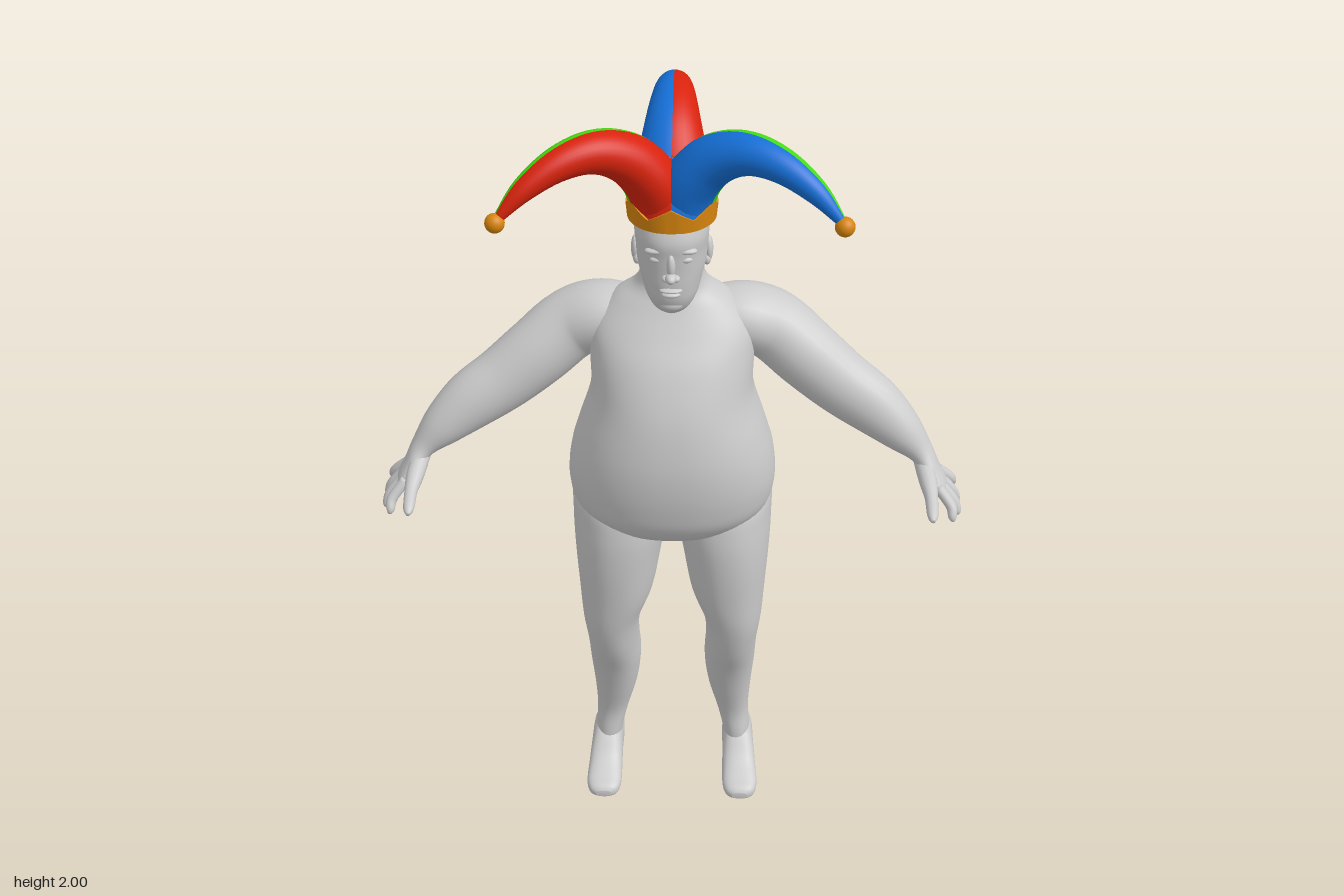
import * as THREE from 'three';
import { toCreasedNormals } from 'three/addons/utils/BufferGeometryUtils.js';

const mat = (color, side = THREE.FrontSide) => new THREE.MeshStandardMaterial({ color, side });
const GREY = mat(0xcccccc);
const ORANGE = mat(0xd8860f, THREE.DoubleSide);
const RED = mat(0xd8230c, THREE.DoubleSide);
const BLUE = mat(0x1570d8, THREE.DoubleSide);
const GREEN = mat(0x45dd12, THREE.DoubleSide);

function add(parent, name, geometry, material = GREY) {
  const mesh = new THREE.Mesh(geometry, material);
  mesh.name = name;
  parent.add(mesh);
  return mesh;
}

// Smoothly subdivide rows of numbers (Catmull-Rom per column)
function refine(rows, steps) {
  const out = [];
  for (let i = 0; i < rows.length - 1; i++) {
    const a = rows[Math.max(i - 1, 0)], b = rows[i], c = rows[i + 1];
    const d = rows[Math.min(i + 2, rows.length - 1)];
    for (let k = 0; k < steps; k++) {
      const t = k / steps;
      out.push(b.map((v, j) => {
        const cubic = 3 * (v - c[j]) + d[j] - a[j];
        const square = 2 * a[j] - 5 * v + 4 * c[j] - d[j];
        return v + 0.5 * t * (c[j] - a[j] + t * (square + t * cubic));
      }));
    }
  }
  out.push(rows[rows.length - 1]);
  return out;
}

// Closed skin over rings of equal point count, capped at both ends
function skin(rings) {
  const n = rings[0].length, pos = [], idx = [];
  rings.forEach((r) => r.forEach((p) => pos.push(p.x, p.y, p.z)));
  for (let i = 0; i < rings.length - 1; i++) {
    for (let j = 0; j < n; j++) {
      const a = i * n + j, b = i * n + (j + 1) % n;
      idx.push(a, b, a + n, b, b + n, a + n);
    }
  }
  [0, rings.length - 1].forEach((i, end) => {
    const c = rings[i].reduce((s, p) => s.add(p), new THREE.Vector3()).divideScalar(n);
    const centre = pos.length / 3;
    pos.push(c.x, c.y, c.z);
    for (let j = 0; j < n; j++) {
      const a = i * n + j, b = i * n + (j + 1) % n;
      if (end) idx.push(a, b, centre); else idx.push(b, a, centre);
    }
  });
  // Turn all faces outward if the enclosed volume is negative
  const P = (i) => new THREE.Vector3().fromArray(pos, 3 * i);
  let volume = 0;
  for (let i = 0; i < idx.length; i += 3) volume += P(idx[i]).dot(P(idx[i + 1]).cross(P(idx[i + 2])));
  if (volume < 0) idx.reverse();
  const g = new THREE.BufferGeometry();
  g.setAttribute('position', new THREE.Float32BufferAttribute(pos, 3));
  g.setIndex(idx);
  g.computeVertexNormals();
  return g;
}

// Loft along y or z; row = [station, centre x, half width, high, low]
function loft(rows, axis = 'y', power = 2.2, n = 40) {
  const pw = (v) => Math.sign(v) * Math.abs(v) ** (2 / power);
  return skin(refine(rows, 5).map(([t, cx, w, hi, lo]) => Array.from({ length: n }, (_, j) => {
    const a = 2 * Math.PI * j / n;
    const x = cx + w * pw(Math.cos(a)), m = (hi + lo) / 2 + (hi - lo) / 2 * pw(Math.sin(a));
    return axis === 'y' ? new THREE.Vector3(x, t, m) : new THREE.Vector3(x, m, t);
  })));
}

// Limb along a path; row = [x, y, z, thickness radius, radius along ref]
function limb(rows, ref = new THREE.Vector3(0, 0, 1), n = 24) {
  const fine = refine(rows, 5), pts = fine.map((r) => new THREE.Vector3(r[0], r[1], r[2]));
  return skin(fine.map((r, i) => {
    const T = pts[Math.min(i + 1, pts.length - 1)].clone().sub(pts[Math.max(i - 1, 0)]).normalize();
    const V = ref.clone().addScaledVector(T, -ref.dot(T)).normalize();
    const U = T.clone().cross(V);
    return Array.from({ length: n }, (_, j) => {
      const a = 2 * Math.PI * j / n;
      return pts[i].clone().addScaledVector(U, r[3] * Math.cos(a)).addScaledVector(V, r[4] * Math.sin(a));
    });
  }));
}

function ball(parent, name, position, scale, material = GREY) {
  const m = add(parent, name, new THREE.SphereGeometry(1, 20, 14), material);
  m.position.set(...position);
  m.scale.set(...scale);
}

// Arm, hand, leg, foot and half of the face for the +x side
function buildSide(name) {
  const side = new THREE.Group();
  side.name = name;
  add(side, 'arm', limb([
    [0.07, 1.47, 0.04, 0.055, 0.07], [0.16, 1.46, 0.03, 0.078, 0.09], [0.24, 1.425, 0.02, 0.085, 0.09],
    [0.32, 1.365, 0.05, 0.085, 0.08], [0.4, 1.305, 0.075, 0.08, 0.072], [0.48, 1.255, 0.1, 0.073, 0.065],
    [0.55, 1.2, 0.125, 0.054, 0.052], [0.6, 1.15, 0.14, 0.031, 0.04], [0.625, 1.11, 0.152, 0.024, 0.05],
    [0.65, 1.075, 0.162, 0.018, 0.058], [0.662, 1.056, 0.165, 0.008, 0.048]]));
  const tips = [[0.68, 1.02, 0.25], [0.697, 1.005, 0.2], [0.7, 1.003, 0.145], [0.695, 1.02, 0.092]];
  tips.forEach(([x, y, z], i) => {
    const bz = 0.207 - i * 0.029;
    add(side, 'finger', limb([
      [0.64, 1.09, bz, 0.013, 0.014],
      [(0.65 + x) / 2 + 0.008, (1.07 + y) / 2 + 0.006, (bz + z) / 2, 0.013, 0.014],
      [x - 0.003, y + 0.01, z * 0.9 + bz * 0.1, 0.01, 0.011], [x, y, z, 0.004, 0.004]], undefined, 12));
  });
  add(side, 'thumb', limb([
    [0.605, 1.13, 0.15, 0.022, 0.022], [0.615, 1.11, 0.21, 0.021, 0.022], [0.62, 1.095, 0.26, 0.015, 0.016],
    [0.62, 1.08, 0.31, 0.012, 0.013], [0.62, 1.075, 0.328, 0.005, 0.005]], new THREE.Vector3(1, 0, 0), 12));
  add(side, 'leg', loft([
    [1.15, 0.11, 0.03, -0.03, -0.09], [1.08, 0.12, 0.09, 0.12, -0.138], [1, 0.125, 0.122, 0.2, -0.156],
    [0.92, 0.128, 0.122, 0.22, -0.138], [0.82, 0.136, 0.11, 0.22, -0.094], [0.7, 0.143, 0.095, 0.207, -0.055],
    [0.6, 0.157, 0.075, 0.19, -0.042], [0.5, 0.156, 0.067, 0.16, -0.065], [0.4, 0.153, 0.067, 0.115, -0.083],
    [0.3, 0.155, 0.058, 0.08, -0.08], [0.2, 0.165, 0.043, 0.052, -0.06], [0.12, 0.176, 0.037, 0.052, -0.06],
    [0.04, 0.182, 0.036, 0.05, -0.08]]));
  add(side, 'foot', loft([
    [-0.103, 0.18, 0.018, 0.06, 0.015], [-0.085, 0.18, 0.036, 0.095, 0.001], [-0.04, 0.18, 0.042, 0.13, 0],
    [0.03, 0.182, 0.043, 0.13, 0], [0.09, 0.185, 0.046, 0.078, 0], [0.14, 0.187, 0.047, 0.052, 0],
    [0.17, 0.187, 0.038, 0.04, 0.001], [0.182, 0.187, 0.02, 0.028, 0.008]], 'z', 2.6, 28));
  ball(side, 'ear', [0.084, 1.668, 0.09], [0.01, 0.033, 0.018]);
  ball(side, 'earLobe', [0.08, 1.645, 0.1], [0.009, 0.014, 0.01]);
  ball(side, 'eye', [0.032, 1.695, 0.197], [0.016, 0.008, 0.01]);
  ball(side, 'brow', [0.034, 1.717, 0.197], [0.025, 0.008, 0.013]);
  ball(side, 'nostril', [0.012, 1.655, 0.213], [0.009, 0.008, 0.011]);
  return side;
}

function buildHat() {
  const hat = new THREE.Group();
  hat.name = 'hat';
  hat.position.z = 0.105;
  // Band with a zigzag upper edge
  const bandProfile = [[0, 1.765], [0.101, 1.762], [0.104, 1.8], [0.094, 1.8]].map((q) => new THREE.Vector2(...q));
  const band = new THREE.LatheGeometry(bandProfile, 72);
  const p = band.attributes.position;
  for (let i = 0; i < p.count; i++) {
    if (p.getY(i) < 1.79) continue;
    const turn = (Math.atan2(p.getX(i), p.getZ(i)) / (Math.PI / 3) + 6) % 1;
    p.setY(i, 1.79 + 0.06 * Math.abs(turn - 0.5));
  }
  add(hat, 'hatBand', toCreasedNormals(band, 0.7), ORANGE);
  // Crown in six coloured sectors
  const crown = [[0.1, 1.77], [0.098, 1.82], [0.078, 1.875], [0.04, 1.897], [0, 1.9]].map((q) => new THREE.Vector2(...q));
  [BLUE, GREEN, RED, BLUE, GREEN, RED].forEach((m, i) =>
    add(hat, 'crownPanel', new THREE.LatheGeometry(crown, 10, i * Math.PI / 3, Math.PI / 3), m));
  // Three curved horns, each split lengthwise into two colours
  const horn = limb([
    [0, 1.78, 0.035, 0.062, 0.072], [0, 1.83, 0.042, 0.064, 0.08], [0, 1.875, 0.065, 0.062, 0.078],
    [0, 1.918, 0.105, 0.058, 0.067], [0, 1.948, 0.16, 0.051, 0.056], [0, 1.957, 0.22, 0.044, 0.047],
    [0, 1.943, 0.29, 0.036, 0.038], [0, 1.907, 0.36, 0.026, 0.027], [0, 1.865, 0.41, 0.014, 0.014],
    [0, 1.845, 0.428, 0.008, 0.008]], new THREE.Vector3(1, 0, 0), 32);
  const half = (sign) => {
    const g = horn.clone(), src = horn.index.array, keep = [];
    for (let i = 0; i < src.length; i += 3) {
      const t = [src[i], src[i + 1], src[i + 2]];
      if (sign * t.reduce((s, k) => s + horn.attributes.position.getX(k), 0) > 0) keep.push(...t);
    }
    g.setIndex(keep);
    return g;
  };
  const halves = [half(1), half(-1)];
  [[Math.PI, BLUE, RED], [Math.PI / 3, GREEN, BLUE], [-Math.PI / 3, RED, GREEN]].forEach(([angle, ...colours]) => {
    const group = new THREE.Group();
    group.name = 'horn';
    group.rotation.y = angle;
    halves.forEach((g, i) => add(group, 'hornHalf', g, colours[i]));
    ball(group, 'bell', [0, 1.845, 0.43], [0.022, 0.022, 0.022], ORANGE);
    hat.add(group);
  });
  return hat;
}

export function createModel() {
  const model = new THREE.Group();
  model.name = 'jesterFigure';
  add(model, 'torso', loft([
    [0.865, 0, 0.06, 0.1, -0.03], [0.91, 0, 0.17, 0.2, -0.08], [0.97, 0, 0.235, 0.255, -0.12],
    [1.04, 0, 0.254, 0.277, -0.138], [1.12, 0, 0.247, 0.287, -0.134], [1.2, 0, 0.225, 0.284, -0.115],
    [1.3, 0, 0.195, 0.264, -0.103], [1.4, 0, 0.195, 0.222, -0.078], [1.47, 0, 0.19, 0.178, -0.052],
    [1.53, 0, 0.14, 0.142, -0.024], [1.57, 0, 0.088, 0.125, -0.004], [1.62, 0, 0.07, 0.125, 0.008],
    [1.68, 0, 0.065, 0.12, 0.012]], 'y', 2.25, 56));
  add(model, 'head', loft([
    [1.54, 0, 0.018, 0.168, 0.12], [1.555, 0, 0.042, 0.185, 0.085], [1.585, 0, 0.06, 0.2, 0.045],
    [1.62, 0, 0.07, 0.206, 0.018], [1.66, 0, 0.079, 0.208, 0.004], [1.7, 0, 0.082, 0.211, 0],
    [1.74, 0, 0.085, 0.213, 0.002], [1.79, 0, 0.08, 0.195, 0.015]], 'y', 2.2, 48));
  ball(model, 'noseTip', [0, 1.659, 0.219], [0.013, 0.012, 0.02]);
  ball(model, 'noseBridge', [0, 1.684, 0.21], [0.01, 0.03, 0.014]);
  ball(model, 'upperLip', [0, 1.62, 0.203], [0.026, 0.006, 0.014]);
  ball(model, 'lowerLip', [0, 1.608, 0.2], [0.022, 0.007, 0.014]);
  ball(model, 'chin', [0, 1.573, 0.178], [0.03, 0.02, 0.02]);
  const left = buildSide('leftSide'), right = buildSide('rightSide');
  right.scale.x = -1;
  model.add(left, right, buildHat());
  return model;
}
